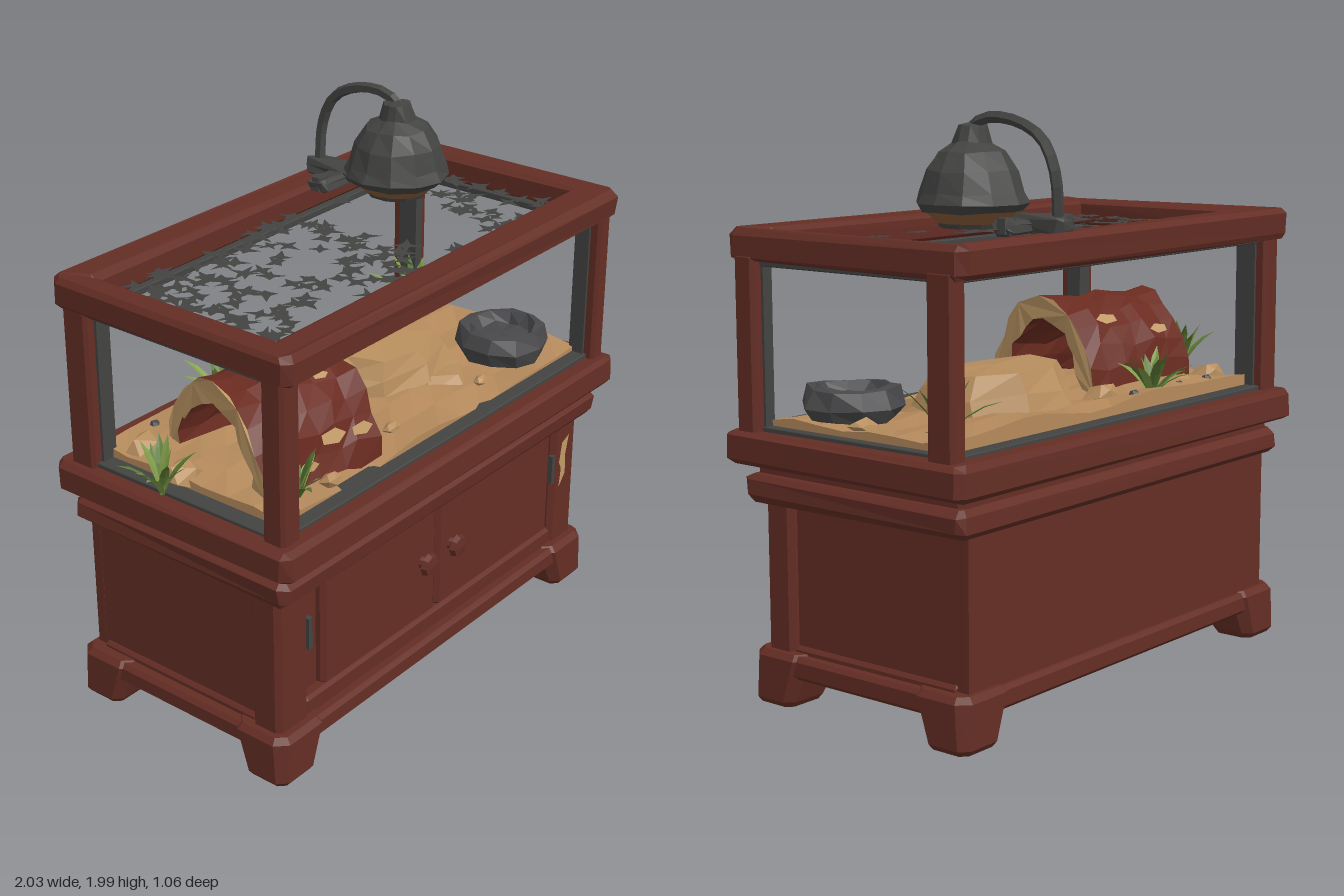
import * as THREE from 'three';
import { mergeGeometries } from 'three/addons/utils/BufferGeometryUtils.js';

const mat = (name, color, side = THREE.FrontSide) =>
  Object.assign(new THREE.MeshStandardMaterial({ color, flatShading: true, side }), { name });

const wood = mat('reddish wood', 0x642e25);
const bark = mat('bark', 0x6a2b20);
const sand = mat('sand', 0xb58a5c);
const stone = mat('tan stone', 0xb78e5e);
const pale = mat('bare wood', 0xc09a66, THREE.DoubleSide);
const metal = mat('dark metal', 0x434342, THREE.DoubleSide);
const slate = mat('slate', 0x48484a);
const copper = mat('copper glow', 0x8a5c38, THREE.DoubleSide);
const leafLight = mat('leaf green', 0x7f9c48, THREE.DoubleSide);
const leafDark = mat('deep leaf green', 0x5c7a34, THREE.DoubleSide);

function seeded(seed) {
  return () => {
    seed = (seed * 16807) % 2147483647;
    return seed / 2147483647;
  };
}

// Shift vertices by a position-based rule, so shared corners stay together.
function jitter(geo, amount) {
  const p = geo.attributes.position;
  for (let i = 0; i < p.count; i++) {
    const k = [p.getX(i), p.getY(i), p.getZ(i)].map(v => Math.round(v * 1000));
    const s = k[0] * 1.37 + k[1] * 2.91 + k[2] * 4.13;
    p.setXYZ(i, p.getX(i) + amount * Math.sin(s), p.getY(i) + amount * Math.sin(s * 1.7 + 1),
      p.getZ(i) + amount * Math.sin(s * 2.3 + 2));
  }
  geo.computeVertexNormals();
  return geo;
}

// Rectangle outline with cut corners.
function outline(path, x0, x1, z0, z1, c) {
  const pts = [[x0 + c, -z1], [x1 - c, -z1], [x1, -z1 + c], [x1, -z0 - c],
    [x1 - c, -z0], [x0 + c, -z0], [x0, -z0 - c], [x0, -z1 + c]];
  return path.setFromPoints(pts.map(p => new THREE.Vector2(...p)));
}

// Bevelled block between limits, with an optional rectangular opening [x0, x1, z0, z1].
function block(x0, x1, y0, y1, z0, z1, b = 0.012, cut = 0.012, hole = null) {
  const shape = outline(new THREE.Shape(), x0 + b, x1 - b, z0 + b, z1 - b, cut);
  if (hole) shape.holes.push(outline(new THREE.Path(), hole[0] - b, hole[1] + b, hole[2] - b, hole[3] + b, 0.002));
  return new THREE.ExtrudeGeometry(shape, { depth: y1 - y0 - 2 * b, bevelSize: b, bevelThickness: b, bevelSegments: 1 })
    .rotateX(-Math.PI / 2).translate(0, y0 + b, 0);
}

export function createModel() {
  const model = new THREE.Group();
  const add = (name, geo, material, parent = model) => {
    const m = new THREE.Mesh(geo, material);
    m.name = name;
    parent.add(m);
    return m;
  };
  const rand = seeded(4711);

  // Cabinet
  add('cabinetBody', block(-0.83, 0.87, 0.11, 0.74, -0.43, 0.375), wood);
  add('backPanel', block(-0.85, 0.89, 0.15, 0.74, -0.45, -0.41), wood);
  for (const [x0, x1] of [[-0.86, -0.70], [0.75, 0.90]])
    add('frontStile', block(x0, x1, 0.15, 0.74, 0.30, 0.425), wood);
  add('bottomRail', block(-0.72, 0.77, 0.15, 0.25, 0.33, 0.418), wood);
  add('topRail', block(-0.72, 0.77, 0.68, 0.74, 0.33, 0.418), wood);
  for (const [x0, x1] of [[-0.845, -0.80], [0.84, 0.885]])
    add('sideRail', block(x0, x1, 0.15, 0.21, -0.42, 0.32), wood);
  add('leftDoor', block(-0.61, 0.025, 0.25, 0.685, 0.35, 0.41, 0.008), wood);
  add('rightDoor', block(0.033, 0.75, 0.25, 0.685, 0.35, 0.41, 0.008), wood);
  for (const x of [-0.06, 0.11]) {
    const knob = [[0, 0], [0.025, 0], [0.02, 0.015], [0.044, 0.03], [0.036, 0.05], [0, 0.055]];
    add('doorKnob', new THREE.LatheGeometry(knob.map(p => new THREE.Vector2(...p)), 8)
      .rotateX(Math.PI / 2).translate(x, 0.48, 0.405), wood);
  }
  for (const x of [-0.695, 0.752])
    add('hinge', new THREE.BoxGeometry(0.02, 0.12, 0.02).translate(x, 0.51, 0.415), metal);
  const chip = [[0.79, 0.42], [0.83, 0.47], [0.825, 0.55], [0.845, 0.63], [0.80, 0.61], [0.785, 0.53], [0.8, 0.5]];
  add('wornPatch', new THREE.ShapeGeometry(new THREE.Shape(chip.map(p => new THREE.Vector2(...p))))
    .translate(0, 0, 0.428), pale);

  // Plinth and tapered feet
  add('plinth', block(-0.89, 0.925, 0.105, 0.185, -0.475, 0.46, 0.015, 0.02), wood);
  for (const sx of [-1, 1]) for (const sz of [-1, 1]) {
    const ox = sx < 0 ? -0.90 : 0.935, oz = sz < 0 ? -0.485 : 0.47;
    const ix = ox - sx * 0.25, iz = oz - sz * 0.24;
    const foot = block(Math.min(ox, ix), Math.max(ox, ix), 0, 0.19, Math.min(oz, iz), Math.max(oz, iz), 0.02, 0.03);
    const p = foot.attributes.position;
    for (let i = 0; i < p.count; i++) {
      const k = p.getY(i) < 0.09 ? 0.76 : 1;
      p.setX(i, ox + (p.getX(i) - ox) * k);
      p.setZ(i, oz + (p.getZ(i) - oz) * k);
    }
    add('foot', foot, wood);
  }

  // Crown moulding and tank rims
  add('crown', jitter(block(-0.885, 0.95, 0.70, 0.795, -0.49, 0.475, 0.022, 0.015), 0.004), wood);
  add('neck', block(-0.85, 0.91, 0.77, 0.85, -0.46, 0.45), wood);
  add('lowerRim', jitter(block(-0.925, 0.99, 0.825, 0.945, -0.525, 0.525, 0.02, 0.02), 0.005), wood);
  add('upperRim', jitter(block(-0.905, 0.965, 1.505, 1.612, -0.51, 0.515, 0.018, 0.02, [-0.79, 0.86, -0.385, 0.375]), 0.005), wood);
  add('upperLining', block(-0.87, 0.93, 1.49, 1.515, -0.45, 0.45, 0.003, 0.003, [-0.775, 0.845, -0.365, 0.355]), metal);
  add('lowerLining', block(-0.87, 0.93, 0.93, 0.957, -0.45, 0.45, 0.003, 0.003, [-0.78, 0.87, -0.36, 0.36]), metal);

  // Corner posts with dark inner channels
  for (const [x0, x1, dx] of [[-0.89, -0.80, 1], [0.895, 0.965, -1]])
    for (const [z0, z1, dz] of [[-0.47, -0.36, 1], [0.39, 0.48, -1]]) {
      add('cornerPost', block(x0, x1, 0.93, 1.53, z0, z1, 0.01, 0.006), wood);
      const w = x1 - x0 - 0.03, d = z1 - z0 - 0.03;
      add('postChannel', new THREE.BoxGeometry(w, 0.58, d)
        .translate((x0 + x1) / 2 + dx * 0.025, 1.23, (z0 + z1) / 2 + dz * 0.025), metal);
    }

  // Sand bed with gentle dunes
  const bed = new THREE.BoxGeometry(1.70, 0.06, 0.79, 14, 1, 7);
  const bp = bed.attributes.position;
  for (let i = 0; i < bp.count; i++) {
    const x = bp.getX(i), z = bp.getZ(i);
    if (bp.getY(i) > 0) bp.setY(i, 0.045 - 0.045 * z + 0.012 * Math.sin(x * 7 + z * 5) + 0.008 * Math.sin(z * 17 - x * 11));
  }
  add('sandBed', bed.translate(0.045, 0.94, 0), sand);

  // Basking slab, loose stones and water dish
  add('baskingRock', jitter(new THREE.CylinderGeometry(0.25, 0.31, 0.13, 9, 2).scale(1, 1, 0.8), 0.012)
    .translate(0.27, 1.055, -0.06), stone);
  add('rockStep', jitter(new THREE.CylinderGeometry(0.1, 0.14, 0.05, 6), 0.01).translate(0.36, 0.985, 0.13), stone);
  const stones = [[-0.74, 0.34, 0.05], [-0.5, 0.35, 0.035], [-0.78, -0.05, 0.06], [-0.72, -0.28, 0.06], [-0.1, -0.25, 0.06],
    [-0.08, 0.28, 0.03], [0.84, 0.02, 0.04], [0.75, -0.24, 0.04], [-0.5, -0.31, 0.05], [0.42, 0.3, 0.025]];
  for (const [x, z, r] of stones)
    add('looseStone', jitter(new THREE.IcosahedronGeometry(r), r * 0.2).scale(1.2, 0.8, 1).translate(x, 0.985, z), stone);
  for (const [x, z] of [[-0.42, -0.35], [-0.16, -0.34], [-0.6, -0.35]])
    add('pebble', new THREE.IcosahedronGeometry(0.022).translate(x, 0.995, z), slate);
  const dish = [[0, 0], [0.15, 0], [0.178, 0.05], [0.155, 0.11], [0.12, 0.115], [0.09, 0.075], [0, 0.07]];
  add('waterDish', jitter(new THREE.LatheGeometry(dish.map(p => new THREE.Vector2(...p)), 10), 0.007)
    .translate(0.69, 0.975, 0.205), slate);

  // Half-log hide: bark shell, bare end grain
  const hide = new THREE.Group();
  hide.name = 'logHide';
  hide.position.set(-0.45, 0.985, 0.06);
  hide.rotation.y = -0.22;
  model.add(hide);
  const arch = [];
  for (let i = 0; i <= 12; i++) arch.push(new THREE.Vector2(0.275 * Math.cos(i * Math.PI / 12), 0.315 * Math.sin(i * Math.PI / 12)));
  for (let i = 12; i >= 0; i--) arch.push(new THREE.Vector2(0.205 * Math.cos(i * Math.PI / 12), 0.235 * Math.sin(i * Math.PI / 12)));
  const shell = new THREE.ExtrudeGeometry(new THREE.Shape(arch), { depth: 0.48, steps: 6, bevelEnabled: false });
  add('barkShell', jitter(shell.rotateY(Math.PI / 2).translate(-0.24, 0, 0), 0.011), [pale, bark], hide);
  for (const [u, a, s] of [[0.05, 0.42, 1.3], [-0.1, 0.8, 1], [0.17, 0.4, 1.1], [-0.06, 0.2, 0.9], [0.1, 1.1, 0.8], [-0.12, 2.5, 1], [0.1, 2.3, 1.2]])
    add('barkChip', new THREE.CircleGeometry(0.03 * s, 5).scale(1.4, 0.7, 1).rotateX(-a)
      .translate(u, 0.33 * Math.sin(a), 0.29 * Math.cos(a)), pale, hide);

  // Plants: rosettes of folded, drooping blades
  function blade(length, width, tilt, turn) {
    const g = new THREE.PlaneGeometry(1, 1, 2, 4), p = g.attributes.position;
    for (let i = 0; i < p.count; i++) {
      const t = p.getY(i) + 0.5, side = p.getX(i) * 2;
      const half = width * (0.35 + 1.3 * t) * (1 - t * t);
      const out = length * t * Math.sin(tilt * (0.6 + 0.5 * t));
      p.setXYZ(i, side * half, length * t * Math.cos(tilt * (0.6 + 0.5 * t)) + Math.abs(side) * half * 0.35, out);
    }
    return g.rotateY(turn);
  }
  for (const [x, z, size, n] of [[-0.64, 0.33, 0.19, 13], [-0.9, -0.03, 0.21, 11], [-0.28, -0.33, 0.2, 13], [0.81, -0.3, 0.24, 13]]) {
    const sets = [[], []];
    for (let i = 0; i < n; i++)
      sets[i % 2].push(blade(size * (0.75 + 0.3 * rand()), 0.022, 0.15 + 0.75 * rand(), i * 2.4));
    sets.forEach((s, i) => add('plantLeaves', mergeGeometries(s).translate(x, 0.965, z), i ? leafDark : leafLight));
  }

  // Torn mesh screen: ragged flakes in one plane
  const flakes = [];
  while (flakes.length < 165) {
    const x = -0.76 + 1.58 * rand(), z = -0.36 + 0.71 * rand(), keep = rand();
    const chance = x < 0.12 ? (z > 0.2 && x > -0.6 && x < -0.2 ? 0.3 : 0.9) : x < 0.24 ? 0.12 : x < 0.5 ? 0.25 : 0.75;
    if (keep > chance || Math.hypot(x - 0.43, z + 0.1) < 0.17) continue;
    const pts = [], n = 8, spin = rand() * 6;
    for (let i = 0; i < n; i++) {
      const r = i % 2 ? 0.012 + 0.012 * rand() : 0.03 + 0.035 * rand();
      pts.push(new THREE.Vector2(r * Math.cos(spin + i * 2 * Math.PI / n), r * Math.sin(spin + i * 2 * Math.PI / n)));
    }
    flakes.push(new THREE.ShapeGeometry(new THREE.Shape(pts)).rotateX(-Math.PI / 2)
      .translate(Math.min(0.80, Math.max(-0.73, x)), 1.56, Math.min(0.32, Math.max(-0.33, z))));
  }
  add('tornScreen', mergeGeometries(flakes), metal);

  // Heat lamp: shade, glowing underside, curved arm and clamp
  const shade = [[0.17, 1.665], [0.193, 1.69], [0.178, 1.725], [0.155, 1.80], [0.115, 1.86], [0.065, 1.89], [0.05, 1.945], [0, 1.955]];
  add('lampShade', jitter(new THREE.LatheGeometry(shade.map(p => new THREE.Vector2(...p)), 12), 0.004).translate(0.43, 0, -0.1), metal);
  add('lampUnderside', new THREE.CylinderGeometry(0.18, 0.12, 0.055, 12).translate(0.43, 1.655, -0.1), copper);
  add('lampFoot', new THREE.CylinderGeometry(0.12, 0.11, 0.02, 10).translate(0.43, 1.622, -0.1), metal);
  const arm = [[0.43, 1.93, -0.09], [0.43, 1.968, -0.15], [0.43, 1.965, -0.28], [0.43, 1.91, -0.39], [0.43, 1.80, -0.445], [0.42, 1.66, -0.45]];
  add('lampArm', new THREE.TubeGeometry(new THREE.CatmullRomCurve3(arm.map(p => new THREE.Vector3(...p))), 12, 0.02, 5), metal);
  add('clampBar', jitter(block(0.25, 0.57, 1.605, 1.65, -0.38, -0.29), 0.006), metal);
  add('clampBody', jitter(block(0.375, 0.465, 1.605, 1.665, -0.495, -0.28), 0.006), metal);
  for (const x of [0.28, 0.54])
    add('clampScrew', new THREE.CylinderGeometry(0.03, 0.035, 0.05, 6).translate(x, 1.635, -0.335), metal);

  return model;
}
